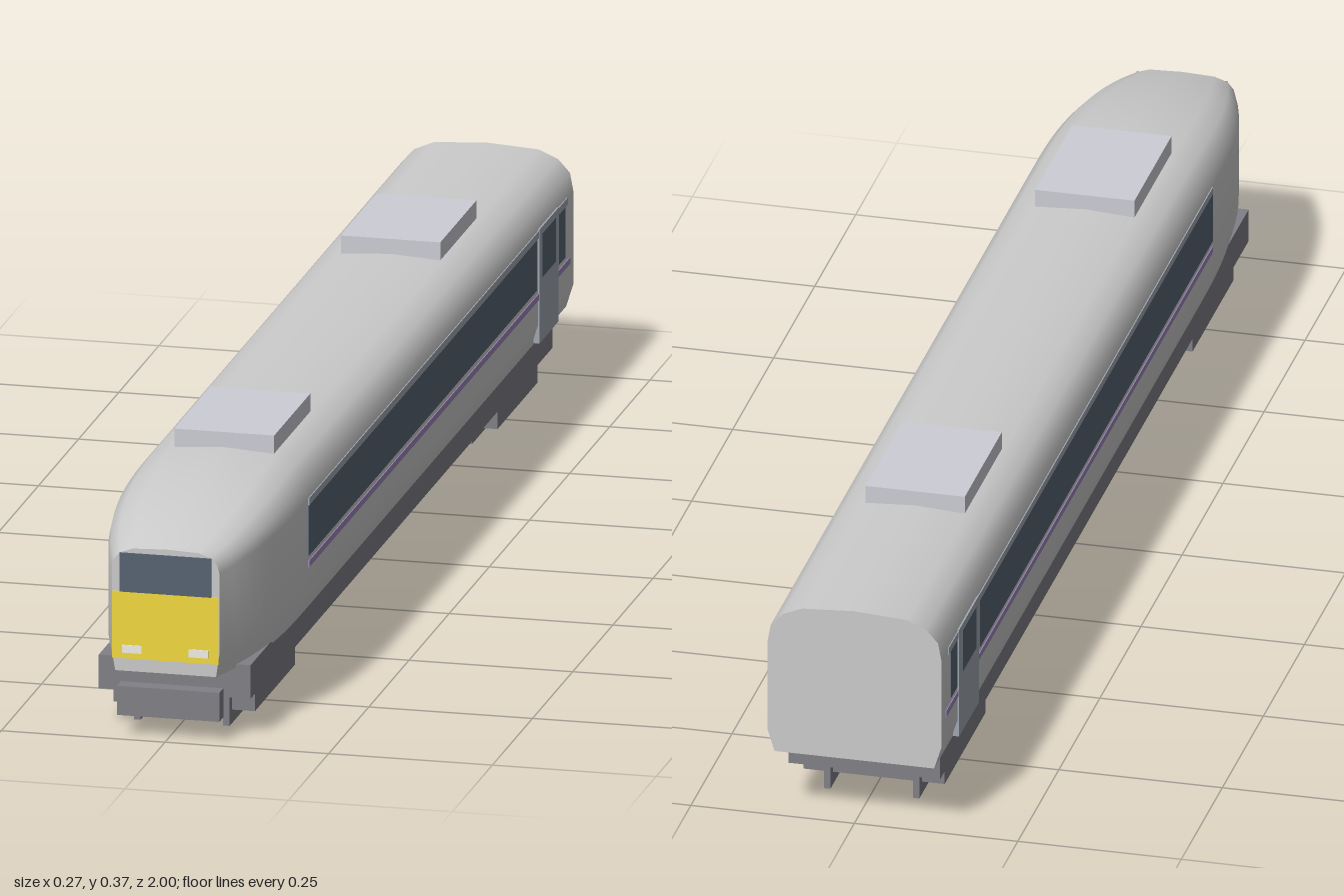
import * as THREE from 'three';
import { toCreasedNormals } from 'three/addons/utils/BufferGeometryUtils.js';

const mat = (color) => new THREE.MeshStandardMaterial({ color });
const M = {
  body: mat(0xcccccc), under: mat(0x808086), glass: mat(0x566472), yellow: mat(0xf2d93f),
  light: mat(0xf0f0e6), door: mat(0xa0a8b2), stripe: mat(0x9c87b8), trim: mat(0xa0a8b2), roof: mat(0xcdcdd6),
};

// Half cross-sections, bottom to top: full carriage and nose tip
const FULL = [[0.122, 0.105], [0.133, 0.14], [0.133, 0.285], [0.128, 0.312], [0.11, 0.332], [0.08, 0.345], [0, 0.35]];
const NOSE = [[0.077, 0.105], [0.082, 0.14], [0.082, 0.265], [0.079, 0.277], [0.07, 0.288], [0.05, 0.295], [0, 0.297]];
const NOSE_Z = 0.996;

// Shell lofted along z, narrowing and dropping toward the nose
function bodyGeometry() {
  const stations = [-1, 0.6];
  for (let k = 1; k <= 12; k++) stations.push(0.6 + (NOSE_Z - 0.6) * k / 12);
  const pos = [], index = [];
  const n = FULL.length * 2 - 1;
  for (const z of stations) {
    const t = Math.max(0, (z - 0.6) / (NOSE_Z - 0.6));
    const half = FULL.map(([x, y], i) => [
      THREE.MathUtils.lerp(x, NOSE[i][0], t ** 3),
      THREE.MathUtils.lerp(y, NOSE[i][1], t ** 2),
    ]);
    const ring = [...half, ...half.slice(0, -1).reverse().map(([x, y]) => [-x, y])];
    for (const [x, y] of ring) pos.push(x, y, z);
  }
  for (let j = 0; j < stations.length - 1; j++) {
    for (let i = 0; i < n; i++) {
      const a = j * n + i, b = j * n + (i + 1) % n;
      index.push(a, b, b + n, a, b + n, a + n);
    }
  }
  const last = (stations.length - 1) * n;
  for (let i = 1; i < n - 1; i++) {
    index.push(0, i + 1, i);
    index.push(last, last + i, last + i + 1);
  }
  const g = new THREE.BufferGeometry();
  g.setAttribute('position', new THREE.Float32BufferAttribute(pos, 3));
  g.setIndex(index);
  return toCreasedNormals(g, 0.6);
}

export function createModel() {
  const train = new THREE.Group();
  train.name = 'trainCar';

  // Box given by its minimum and maximum on each axis
  const box = (name, material, [x0, x1], [y0, y1], [z0, z1], parent = train) => {
    const mesh = new THREE.Mesh(new THREE.BoxGeometry(x1 - x0, y1 - y0, z1 - z0), material);
    mesh.position.set((x0 + x1) / 2, (y0 + y1) / 2, (z0 + z1) / 2);
    mesh.name = name;
    parent.add(mesh);
  };

  const body = new THREE.Mesh(bodyGeometry(), M.body);
  body.name = 'body';
  train.add(body);

  // Cab front
  box('cabPanel', M.yellow, [-0.081, 0.081], [0.125, 0.228], [0.98, 0.9985]);
  box('windscreen', M.glass, [-0.07, 0.07], [0.228, 0.288], [0.98, 0.999]);

  // Underframe and front bumper
  box('underframe', M.under, [-0.116, 0.116], [0.058, 0.11], [-0.94, 0.94]);
  box('bumper', M.under, [-0.078, 0.078], [0.031, 0.076], [0.955, 0.98]);

  // Roof units and bogies at both ends
  for (const end of [1, -1]) {
    const c = end * 0.517;
    box('roofUnit', M.roof, [-0.076, 0.076], [0.34, 0.373], [c - 0.113, c + 0.113]);

    const bogie = new THREE.Group();
    bogie.name = 'bogie';
    bogie.position.z = end * 0.755;
    train.add(bogie);
    box('bogieFrame', M.under, [-0.108, 0.108], [0.021, 0.06], [-0.125, 0.125], bogie);
    for (const x of [-0.068, 0.068])
      for (const z of [-0.1, 0.1])
        box('wheelBar', M.under, [x - 0.005, x + 0.005], [0, 0.06], [z - 0.04, z + 0.04], bogie);
  }

  // Details on both flanks
  for (const s of [1, -1]) {
    const side = (name, material, out, y, z) => {
      const x = [s * 0.126, s * out].sort((a, b) => a - b);
      box(name, material, x, y, z);
    };
    const lampX = [s * 0.036, s * 0.066].sort((a, b) => a - b);
    box('headlight', M.light, lampX, [0.134, 0.146], [0.99, 1]);
    side('windowBand', M.glass, 0.1342, [0.197, 0.275], [-0.77, 0.65]);
    side('rearWindow', M.glass, 0.1342, [0.197, 0.275], [-0.945, -0.905]);
    side('upperTrim', M.trim, 0.1345, [0.275, 0.286], [-0.96, 0.65]);
    side('lowerStripe', M.stripe, 0.1345, [0.179, 0.189], [-0.975, 0.65]);
    side('door', M.door, 0.1352, [0.112, 0.288], [-0.9, -0.78]);
    side('doorWindow', M.glass, 0.136, [0.21, 0.278], [-0.88, -0.797]);
  }
  return train;
}
